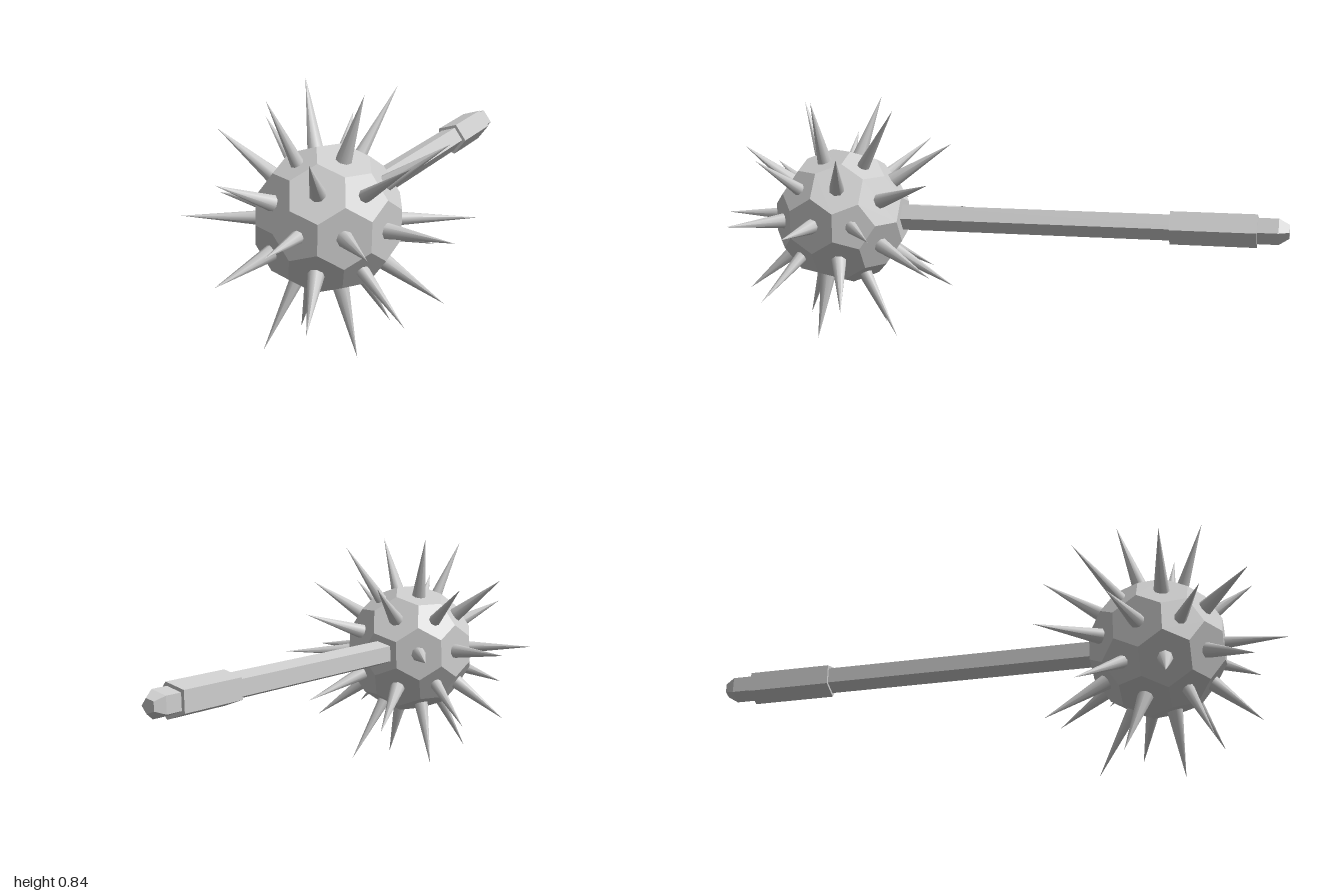
import * as THREE from 'three';
import { ConvexGeometry } from 'three/addons/geometries/ConvexGeometry.js';

const TWIST = THREE.MathUtils.degToRad(-2); // roll of the whole weapon about its shaft
const HEAD = new THREE.Vector3(0, 0.432, 0.56); // centre of the faceted head
const FAN = new THREE.Vector3(0, 0.43, 0.535); // centre the spike tips fan out from

const flat = new THREE.MeshStandardMaterial({ color: 0xcccccc, flatShading: true });
const smooth = new THREE.MeshStandardMaterial({ color: 0xcccccc });

function add(group, name, geometry, material) {
  const mesh = new THREE.Mesh(geometry, material);
  mesh.name = name;
  group.add(mesh);
  return mesh;
}

// Unit vector at an angle from +z, turned around z
function direction(polar, azimuth) {
  return new THREE.Vector3(
    Math.sin(polar) * Math.cos(azimuth), Math.sin(polar) * Math.sin(azimuth), Math.cos(polar));
}

// Icosahedron corners with one corner on +z
function icosaCorners() {
  const tilt = Math.atan(2);
  const corners = [direction(0, 0)];
  for (let i = 0; i < 5; i++) {
    const a = TWIST + i * Math.PI * 0.4;
    corners.push(direction(tilt, a + Math.PI / 5), direction(Math.PI - tilt, a));
  }
  corners.push(new THREE.Vector3(0, 0, -1));
  return corners;
}

// A tapering spike from a face of the head to its tip
function addSpike(group, dir, faceDistance, tipDistance, radius) {
  const base = HEAD.clone().addScaledVector(dir, faceDistance - 0.012);
  const tip = FAN.clone().addScaledVector(dir, tipDistance);
  const axis = tip.clone().sub(base);
  const length = axis.length();
  const spike = add(group, 'spike', new THREE.ConeGeometry(radius, length, 8), smooth);
  spike.position.copy(base).addScaledVector(axis, 0.5);
  spike.quaternion.setFromUnitVectors(new THREE.Vector3(0, 1, 0), axis.normalize());
}

// A five-sided bar along z, from z0 (radius r0) back to z1 (radius r1)
function addBar(group, name, z0, z1, r0, r1) {
  const bar = new THREE.CylinderGeometry(r0, r1, z0 - z1, 5);
  bar.rotateX(Math.PI / 2); // top of the cylinder to +z
  bar.rotateZ(Math.PI / 2 + TWIST); // one edge towards +x
  bar.translate(-0.004, 0.437, (z0 + z1) / 2);
  add(group, name, bar, flat);
}

export function createModel() {
  const model = new THREE.Group();
  model.name = 'spikedMace';

  const corners = icosaCorners();
  const near = (a, b) => a !== b && a.dot(b) > 0.4;

  // Head: a truncated icosahedron, two points on each edge
  const points = [];
  for (const a of corners) {
    for (const b of corners) {
      if (near(a, b)) points.push(a.clone().multiplyScalar(2).add(b).divideScalar(3));
    }
  }
  const radius = points[0].length();
  points.forEach((p) => p.multiplyScalar(0.239 / radius));
  add(model, 'head', new ConvexGeometry(points), flat).position.copy(HEAD);

  // Spikes: one per pentagon (except where the shaft enters) and one per hexagon
  const spikes = new THREE.Group();
  spikes.name = 'spikes';
  model.add(spikes);
  corners.slice(0, -1).forEach((c) => addSpike(spikes, c, 0.224, 0.465, 0.023));
  corners.forEach((a, i) => corners.forEach((b, j) => corners.forEach((c, k) => {
    if (i < j && j < k && near(a, b) && near(b, c) && near(a, c)) {
      addSpike(spikes, a.clone().add(b).add(c).normalize(), 0.219, 0.447, 0.028);
    }
  })));

  // Handle
  const handle = new THREE.Group();
  handle.name = 'handle';
  model.add(handle);
  addBar(handle, 'shaft', 0.4, -0.965, 0.047, 0.047);
  addBar(handle, 'grip', -0.605, -0.895, 0.06, 0.06);
  addBar(handle, 'pommel', -0.965, -1, 0.047, 0.025);

  return model;
}
